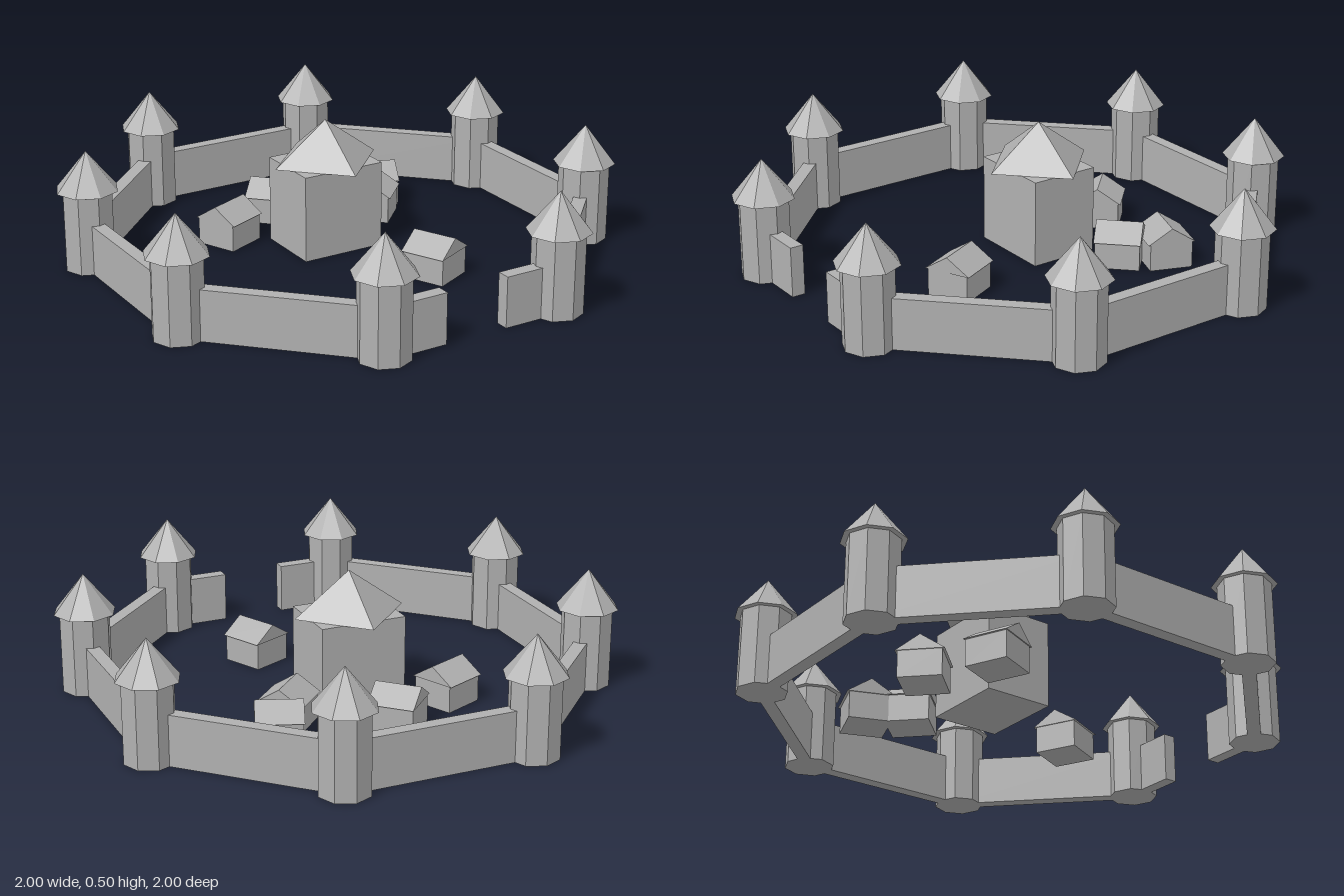
import * as THREE from 'three';

const stone = new THREE.MeshStandardMaterial({ color: 0xb0b0b0, flatShading: true });
stone.name = 'grey stone';

function part(name, geometry, x, y, z) {
  const mesh = new THREE.Mesh(geometry, stone);
  mesh.name = name;
  mesh.position.set(x, y, z);
  return mesh;
}

// Eight-sided tower with an overhanging pointed roof
function tower(x, z) {
  const g = new THREE.Group();
  g.name = 'tower';
  g.position.set(x, 0, z);
  g.add(part('towerShaft', new THREE.CylinderGeometry(0.098, 0.098, 0.31, 8), 0, 0.155, 0));
  g.add(part('towerRoof', new THREE.ConeGeometry(0.12, 0.15, 8), 0, 0.385, 0));
  return g;
}

// Straight wall between two ground points
function wall(a, b) {
  const dx = b[0] - a[0], dz = b[1] - a[1];
  const geometry = new THREE.BoxGeometry(0.052, 0.195, Math.hypot(dx, dz));
  const mesh = part('wall', geometry, (a[0] + b[0]) / 2, 0.0975, (a[1] + b[1]) / 2);
  mesh.rotation.y = Math.atan2(dx, dz);
  return mesh;
}

// Gabled cottage whose ridge runs along (dx, dz)
function house(x, z, dx, dz) {
  const g = new THREE.Group();
  g.name = 'house';
  g.position.set(x, 0, z);
  g.rotation.y = Math.atan2(dx, dz);
  g.add(part('houseBody', new THREE.BoxGeometry(0.165, 0.105, 0.17), 0, 0.0525, 0));
  const gable = new THREE.Shape([
    new THREE.Vector2(-0.092, 0), new THREE.Vector2(0.092, 0), new THREE.Vector2(0, 0.06),
  ]);
  const roof = new THREE.ExtrudeGeometry(gable, { depth: 0.178, bevelEnabled: false });
  g.add(part('houseRoof', roof, 0, 0.105, -0.089));
  return g;
}

export function createModel() {
  const model = new THREE.Group();
  model.name = 'walledTown';

  // Ring of towers, with corner 0 and corner 7 flanking the gate
  const corners = [];
  for (let i = 0; i < 8; i++) {
    const a = (i + 0.5) * Math.PI / 4;
    corners.push([Math.sin(a) * 0.952, Math.cos(a) * 0.952]);
  }
  corners.forEach(([x, z]) => model.add(tower(x, z)));

  // Curtain walls, and two short stubs leaving the gate open
  for (let i = 0; i < 7; i++) model.add(wall(corners[i], corners[i + 1]));
  for (const c of [corners[0], corners[7]]) {
    model.add(wall(c, [Math.sign(c[0]) * 0.126, c[1]]));
  }

  // Keep with a four-sided roof turned to the body
  const keep = new THREE.Group();
  keep.name = 'keep';
  keep.position.z = -0.11;
  keep.add(part('keepBody', new THREE.BoxGeometry(0.337, 0.338, 0.274), 0, 0.169, 0));
  keep.add(part('keepRoof', new THREE.ConeGeometry(0.22, 0.163, 4), 0, 0.4195, 0));
  model.add(keep);

  // Cottages: x, z, ridge direction
  [
    [-0.312, -0.314, 32, -14],
    [-0.045, -0.447, 1, 1],
    [0.406, -0.404, 32, 12],
    [0.312, -0.263, 1, -1],
    [0.179, 0.378, 14, 30],
  ].forEach((h) => model.add(house(...h)));

  return model;
}
